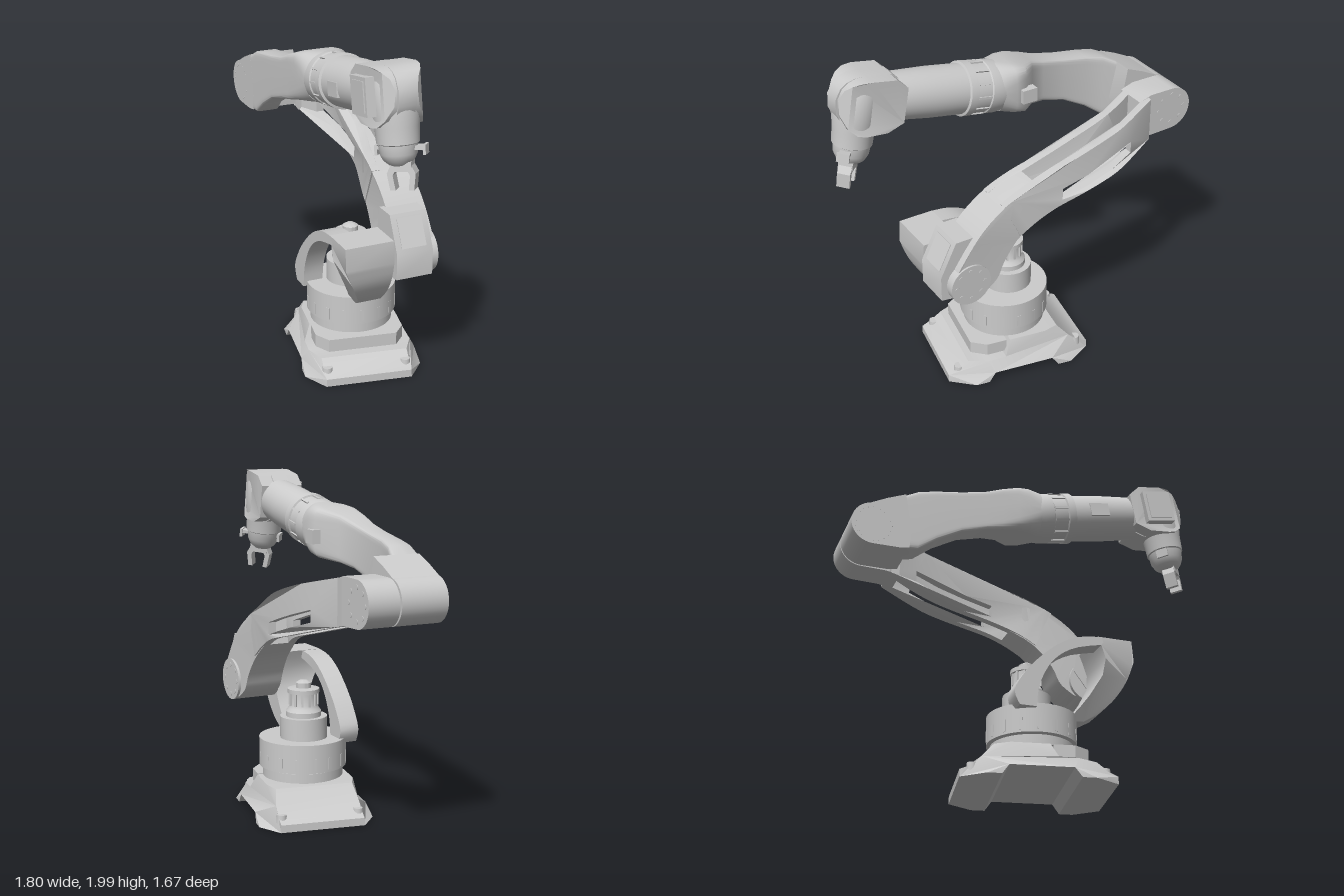
import * as THREE from 'three';
import { toCreasedNormals } from 'three/addons/utils/BufferGeometryUtils.js';

const mat = new THREE.MeshStandardMaterial({ color: 0xcccccc, side: THREE.DoubleSide });
const V2 = (p) => new THREE.Vector2(p[0], p[1]);

function add(parent, name, geo, x = 0, y = 0, z = 0) {
  const m = new THREE.Mesh(geo, mat);
  m.name = name;
  m.position.set(x, y, z);
  parent.add(m);
  return m;
}
function group(parent, name, x = 0, y = 0, z = 0) {
  const g = new THREE.Group();
  g.name = name;
  g.position.set(x, y, z);
  parent.add(g);
  return g;
}
// side profile (x, y) extruded from z0 to z1, with an optional rule that moves z
function plate(pts, z0, z1, { hole, moveZ } = {}) {
  const s = new THREE.Shape(pts.map(V2));
  if (hole) s.holes.push(new THREE.Path(hole.map(V2)));
  const g = new THREE.ExtrudeGeometry(s, { depth: z1 - z0, bevelEnabled: false });
  g.translate(0, 0, z0);
  const p = g.attributes.position;
  if (moveZ) for (let i = 0; i < p.count; i++) p.setZ(i, moveZ(p.getX(i), p.getY(i), p.getZ(i)));
  return toCreasedNormals(g, 0.5);
}
const box = (w, h, d) => new THREE.BoxGeometry(w, h, d);
const cylY = (r, h, r2 = r, n = 40) => new THREE.CylinderGeometry(r2, r, h, n);
const cylZ = (r, h, n = 40) => cylY(r, h, r, n).rotateX(Math.PI / 2);
const lathe = (pts) => toCreasedNormals(new THREE.LatheGeometry(pts.map(V2), 40), 0.6);
const smooth = (pts, n) => new THREE.SplineCurve(pts.map(V2)).getPoints(n).map((p) => [p.x, p.y]);
// piecewise linear lookup
function lerpAt(table, x) {
  for (let i = 1; i < table.length; i++) {
    const [a, va] = table[i - 1], [b, vb] = table[i];
    if (x <= b) return va + (vb - va) * Math.max(0, (x - a) / (b - a));
  }
  return table[table.length - 1][1];
}
function boltRing(parent, n, radius, x, y, z, r = 0.014) {
  for (let i = 0; i < n; i++) {
    const a = (i / n) * Math.PI * 2;
    add(parent, 'jointBolt', cylZ(r, 0.008, 10), x + radius * Math.cos(a), y + radius * Math.sin(a), z);
  }
}
// rounded box sections [x, yBottom, yTop, zMin, zMax, roundness exponent]
function loft(stations, n = 40) {
  const pos = [], idx = [];
  const c = (v, e) => Math.sign(v) * Math.pow(Math.abs(v), 2 / e);
  stations.forEach(([x, yb, yt, z0, z1, e], k) => {
    for (let i = 0; i < n; i++) {
      const a = (i / n) * Math.PI * 2;
      pos.push(x, (yb + yt) / 2 + c(Math.sin(a), e) * (yt - yb) / 2, (z0 + z1) / 2 + c(Math.cos(a), e) * (z1 - z0) / 2);
      if (k) {
        const p = (k - 1) * n + i, q = (k - 1) * n + (i + 1) % n;
        idx.push(p, p + n, q, q, p + n, q + n);
      }
    }
  });
  const g = new THREE.BufferGeometry();
  g.setAttribute('position', new THREE.Float32BufferAttribute(pos, 3));
  g.setIndex(idx);
  return toCreasedNormals(g, 0.7);
}

function buildBase(root) {
  const base = group(root, 'base', 0.175, 0, 0.05);
  base.rotation.y = -0.875;
  // foot casting: long profile with a channel below, narrowed upwards and at the corners
  const widths = [[0, 0.345], [0.06, 0.34], [0.12, 0.305], [0.21, 0.265]];
  const foot = plate([[-0.44, 0], [-0.3, 0], [-0.22, 0], [-0.18, 0.055], [0.18, 0.055], [0.22, 0], [0.3, 0], [0.44, 0],
    [0.44, 0.045], [0.4, 0.06], [0.32, 0.12], [0.21, 0.122], [0.1, 0.125], [0.06, 0.21], [-0.16, 0.21], [-0.25, 0.205], [-0.32, 0.125], [-0.4, 0.06], [-0.44, 0.045]], -1, 1,
  { moveZ: (x, y, z) => z * lerpAt(widths, y) * lerpAt([[0.31, 1], [0.44, 0.73]], Math.abs(x) + y * 0.6) });
  add(base, 'footCasting', foot);
  for (const x of [-0.37, 0.37]) for (const z of [-0.23, 0.23]) add(base, 'mountingBolt', cylY(0.034, 0.06, 0.028, 16), x, 0.058, z);
  // front plate with cut corners
  const front = plate([[0.08, -0.26], [0.2, -0.26], [0.285, -0.2], [0.285, 0.2], [0.2, 0.26], [0.08, 0.26]], 0, 0.075);
  add(base, 'frontPlate', front.rotateX(Math.PI / 2), 0, 0.21, 0);
  // slewing ring and turntable
  add(base, 'slewingNeck', cylY(0.21, 0.2), 0, 0.2, 0);
  add(base, 'slewingRing', cylY(0.24, 0.055), 0, 0.245, 0);
  add(base, 'turntable', cylY(0.26, 0.17, 0.26, 48), 0, 0.365, 0);
  for (let i = 0; i < 16; i++) {
    const a = (i / 16) * Math.PI * 2;
    add(base, 'turntableRib', box(0.012, 0.07, 0.02), 0.256 * Math.cos(a), 0.33, 0.256 * Math.sin(a)).rotation.y = -a;
  }
}

function buildShoulder(arm) {
  // upright slewing motor
  const motor = group(arm, 'slewMotor', 0.14, 0, -0.08);
  add(motor, 'motorBody', lathe([[0, 0.44], [0.14, 0.44], [0.14, 0.58], [0.105, 0.58], [0.105, 0.61], [0.09, 0.63], [0.08, 0.65],
    [0.08, 0.72], [0.094, 0.72], [0.094, 0.745], [0.045, 0.75], [0.045, 0.78], [0.02, 0.795], [0, 0.795]]));
  for (let i = 0; i < 12; i++) {
    const a = (i / 12) * Math.PI * 2;
    add(motor, 'motorFin', box(0.018, 0.08, 0.014), 0.08 * Math.cos(a), 0.685, 0.08 * Math.sin(a)).rotation.y = -a;
  }
  // arched side strap
  const arch = smooth([[0.5, 0.9], [0.36, 0.88], [0.23, 0.815], [0.1, 0.7], [0.02, 0.6], [-0.03, 0.5], [0, 0.42]], 18);
  const inner = smooth([[0.1, 0.42], [0.12, 0.56], [0.2, 0.71], [0.33, 0.805], [0.52, 0.855]], 14);
  add(arm, 'shoulderArch', plate([...arch, ...inner], 0.08, 0.2));
  // joint housing running down into a narrowing front strut
  const reach = [[0.43, 0.02], [0.5, 0.06], [0.57, 0.1], [0.68, 0.16], [0.77, 0.2]];
  add(arm, 'shoulderHousing', plate([[0.69, 0.9], [0.48, 0.9], [0.5, 0.85], [0.525, 0.77], [0.52, 0.68], [0.46, 0.57], [0.41, 0.5], [0.35, 0.43], [0.45, 0.435],
    ...smooth([[0.53, 0.48], [0.61, 0.56], [0.67, 0.66], [0.7, 0.77]], 10)], 0, 1,
  { moveZ: (x, y, z) => (z > 0.5 ? lerpAt(reach, y) : -0.09) }));
}

function buildUpperArm(arm) {
  const g = group(arm, 'upperArm');
  // two bowed, slotted rails
  const top = smooth([[-0.7, 1.52], [-0.4, 1.45], [-0.1, 1.36], [0.2, 1.23], [0.32, 1.17]], 24);
  const bottom = smooth([[0.22, 0.95], [0.09, 1.03], [-0.08, 1.1], [-0.36, 1.17], [-0.7, 1.26]], 24);
  const slot = [[-0.52, 1.26], [-0.36, 1.213], [-0.2, 1.167], [-0.04, 1.12], [-0.04, 1.19], [-0.2, 1.237], [-0.36, 1.283], [-0.52, 1.33]];
  const bows = {
    outerRail: [[-0.7, -0.265], [-0.5, -0.34], [-0.375, -0.37], [-0.15, -0.375], [0.036, -0.352], [0.22, -0.335], [0.33, -0.33]],
    innerRail: [[-0.7, -0.1], [-0.55, -0.165], [-0.4, -0.205], [-0.2, -0.217], [-0.03, -0.208], [0.17, -0.165], [0.33, -0.15]],
  };
  for (const [name, bow] of Object.entries(bows)) {
    const curve = smooth(bow, 40);
    add(g, name, plate([...top, ...bottom], -0.024, 0.024, { hole: slot, moveZ: (x, y, z) => z + lerpAt(curve, x) }));
  }
  // elbow end
  add(g, 'elbowEnd', plate([[-0.87, 1.27], [-0.72, 1.265], [-0.64, 1.245], [-0.64, 1.505], [-0.72, 1.53], [-0.87, 1.53]], -0.265, -0.08));
  add(g, 'elbowBoss', cylZ(0.13, 0.185), -0.87, 1.4, -0.1725);
  boltRing(g, 8, 0.09, -0.87, 1.4, -0.264);
  // solid shoulder end, spreading from the rails
  add(g, 'shoulderEnd', plate([...smooth([[0.12, 1.265], [0.28, 1.19], [0.42, 1.1], [0.52, 1], [0.62, 0.86]], 12), [0.67, 0.75], [0.55, 0.625],
    ...smooth([[0.45, 0.66], [0.37, 0.72], [0.32, 0.82], [0.22, 0.94], [0.07, 1.04]], 14)], 0, 1,
  { moveZ: (x, y, z) => (z > 0.5 ? lerpAt([[0.07, -0.175], [0.17, -0.145], [0.33, -0.128]], x) : lerpAt([[0.07, -0.36], [0.22, -0.35], [0.55, -0.365]], x)) }));
  add(g, 'shoulderCover', plate([[0.48, 1.02], [0.61, 1.02], [0.71, 0.82], [0.71, 0.67], [0.56, 0.65], [0.45, 0.8]], -0.32, -0.1));
  add(g, 'coverPanel', box(0.01, 0.17, 0.15), 0.659, 0.92, -0.21).rotation.z = 0.46;
  add(g, 'shoulderBoss', cylZ(0.125, 0.27), 0.55, 0.75, -0.24);
  boltRing(g, 8, 0.09, 0.55, 0.75, -0.374);
}

function buildForearm(arm) {
  const g = group(arm, 'forearm');
  // elbow drum and curved beam
  add(g, 'elbowDrum', cylZ(0.13, 0.28), -0.87, 1.4, 0.07);
  add(g, 'elbowHousing', plate([[-0.87, 1.27], [-0.72, 1.27], [-0.66, 1.28], [-0.65, 1.4], [-0.69, 1.62], [-0.8, 1.575], [-0.95, 1.5]], -0.07, 0.21));
  boltRing(g, 20, 0.105, -0.87, 1.4, 0.207, 0.007);
  add(g, 'forearmBeam', loft([[-0.74, 1.27, 1.595, 0.02, 0.21, 12], [-0.61, 1.28, 1.66, 0.06, 0.21, 12], [-0.5, 1.36, 1.682, 0.08, 0.21, 12],
    [-0.35, 1.442, 1.705, 0.08, 0.21, 12], [-0.2, 1.485, 1.74, 0.07, 0.21, 10], [-0.1, 1.508, 1.78, 0.03, 0.21, 9], [0, 1.53, 1.82, -0.075, 0.21, 6],
    [0.07, 1.54, 1.835, -0.09, 0.21, 4], [0.15, 1.55, 1.845, -0.085, 0.205, 2.2]]));
  add(g, 'motorBlock', box(0.09, 0.08, 0.05), 0, 1.66, -0.085);

  // pitched roll tube, origin at the wrist pivot
  const roll = group(g, 'rollSection', 0.95, 1.84, 0.06);
  roll.rotation.z = 0.18;
  const tube = lathe([[0, -0.86], [0.14, -0.86], [0.15, -0.8], [0.15, -0.74], [0.143, -0.735], [0.143, -0.65], [0.153, -0.645], [0.153, -0.6], [0.14, -0.595], [0.14, -0.4], [0.132, -0.2], [0.12, -0.1], [0, -0.1]]);
  add(roll, 'rollTube', tube.rotateZ(-Math.PI / 2));
  for (let i = 0; i < 12; i++) {
    const a = (i / 12) * Math.PI * 2;
    add(roll, 'collarTab', box(0.085, 0.014, 0.012), -0.69, 0.144 * Math.cos(a), 0.144 * Math.sin(a)).rotation.x = a;
  }
  add(roll, 'tubeCover', box(0.12, 0.08, 0.04), -0.44, -0.01, 0.125);

  // wrist head, narrowing towards its rounded front
  const head = [[-0.21, -0.1], [-0.12, -0.15], [0, -0.16], [0.05, -0.155], [0.1, -0.12], [0.14, -0.05], [0.15, 0.03], [0.13, 0.09], [0.1, 0.12], [0.06, 0.14], [0, 0.15], [-0.14, 0.15], [-0.21, 0.1]];
  add(roll, 'wristHead', plate(head, -1, 1, { moveZ: (x, y, z) => z * lerpAt([[0, 0.135], [0.06, 0.125], [0.1, 0.105], [0.15, 0.06]], x) }));
  add(roll, 'headRidge', plate(head.map(([x, y]) => [x * 1.07, y]), -0.05, 0.05));
  add(roll, 'sideCover', box(0.18, 0.2, 0.05), -0.05, 0, 0.145);
  add(roll, 'sidePanel', box(0.14, 0.16, 0.008), -0.05, 0, 0.172);
  const wrist = group(roll, 'wrist', 0.015, 0, 0);
  add(wrist, 'wristBody', lathe([[0, -0.37], [0.05, -0.36], [0.08, -0.335], [0.097, -0.3], [0.102, -0.25], [0.11, -0.245], [0.114, -0.16], [0.122, -0.1],
    [0.122, 0.06], [0.1, 0.1], [0, 0.12]]));
  // tool bracket and two-finger gripper
  const tool = group(wrist, 'gripper', 0.015, -0.3, -0.01);
  tool.rotation.y = 0.85;
  add(tool, 'toolBracket', box(0.26, 0.02, 0.06), 0, 0.03, 0);
  for (const s of [-1, 1]) {
    add(tool, 'bracketTab', box(0.015, 0.05, 0.07), s * 0.125, 0.02, 0);
    add(tool, 'finger', plate([[0.012, -0.05], [0.05, -0.05], [0.075, -0.1], [0.062, -0.185], [0.034, -0.185], [0.045, -0.11]].map(([x, y]) => [s * x, y]), -0.036, 0.036));
  }
  add(tool, 'gripperPalm', box(0.11, 0.05, 0.08), 0, -0.065, 0);
}

export function createModel() {
  const root = new THREE.Group();
  root.name = 'robotArm';
  buildBase(root);
  // the whole arm is slewed on the base
  const arm = group(root, 'arm');
  arm.rotation.y = -THREE.MathUtils.degToRad(40);
  buildShoulder(arm);
  buildUpperArm(arm);
  buildForearm(arm);
  return root;
}
